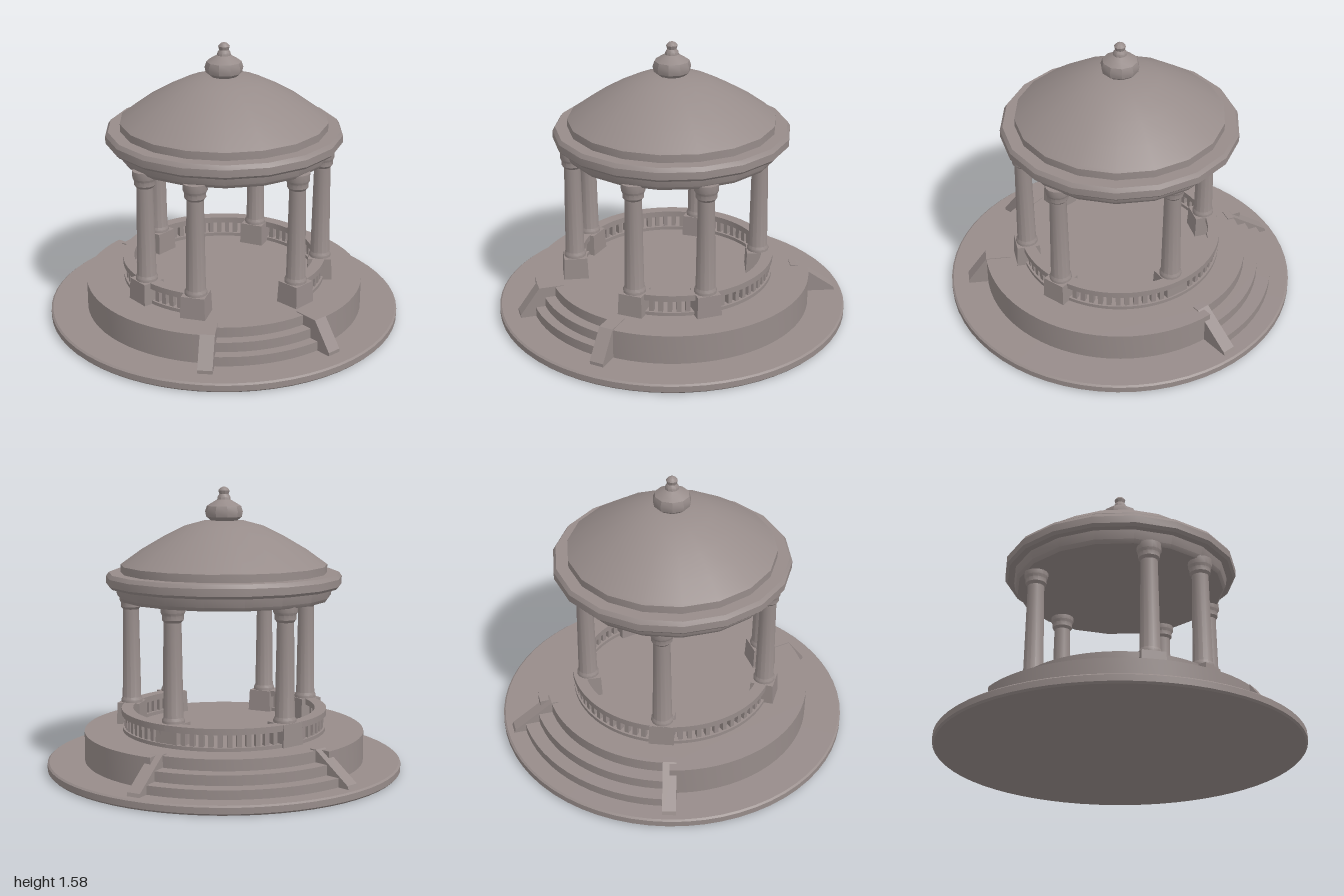
import * as THREE from 'three';
import { toCreasedNormals } from 'three/addons/utils/BufferGeometryUtils.js';

const DEG = Math.PI / 180;

export function createModel() {
  const model = new THREE.Group();
  const stone = new THREE.MeshStandardMaterial({ color: 0x978c8a });
  stone.name = 'stone';

  const add = (name, geo, parent = model) => {
    const mesh = new THREE.Mesh(toCreasedNormals(geo, 0.55), stone);
    mesh.name = name;
    parent.add(mesh);
    return mesh;
  };
  const group = (name, parent = model) => {
    const g = new THREE.Group();
    g.name = name;
    parent.add(g);
    return g;
  };
  const lathe = (pts, sides) =>
    new THREE.LatheGeometry(pts.map(([r, y]) => new THREE.Vector2(r, y)), sides);

  // Angles are in degrees from the front (+z) towards +x
  const plan = (r, a) => new THREE.Vector2(r * Math.sin(a * DEG), -r * Math.cos(a * DEG));
  const raise = (points, y0, y1) =>
    new THREE.ExtrudeGeometry(new THREE.Shape(points), { depth: y1 - y0, bevelEnabled: false })
      .rotateX(-Math.PI / 2).translate(0, y0, 0);
  const arcBlock = (rIn, rOut, a0, a1, y0, y1) => {
    const n = Math.max(4, Math.ceil((a1 - a0) / 5));
    const outer = [], inner = [];
    for (let i = 0; i <= n; i++) {
      const a = a0 + (a1 - a0) * i / n;
      outer.push(plan(rOut, a));
      inner.unshift(plan(rIn, a));
    }
    return raise([...outer, ...inner], y0, y1);
  };

  // Ground disc
  add('groundDisc', lathe([[0, 0.005], [0.99, 0.005], [1, 0.015], [1, 0.048], [0.99, 0.056], [0, 0.056]], 64));

  // Raised platform, set back where the two stairs meet it
  const front = [-27, 20], back = [141, 214];
  const edge = [];
  const sweep = (r, a0, a1) => {
    const n = Math.ceil((a1 - a0) / 5);
    for (let i = 0; i <= n; i++) edge.push(plan(r, a0 + (a1 - a0) * i / n));
  };
  sweep(0.7, front[0], front[1]);
  sweep(0.79, front[1], back[0]);
  sweep(0.73, back[0], back[1]);
  sweep(0.79, back[1], 360 + front[0]);
  add('platform', raise(edge, 0.04, 0.222));

  // Curved steps and their sloping side walls
  const stairs = (name, [a0, a1], steps, profile, thick) => {
    const g = group(name);
    for (const [r, y] of steps) add('step', arcBlock(0.6, r, a0, a1, 0.04, y), g);
    for (const a of [a0, a1]) {
      const shape = new THREE.Shape(profile.map(([r, y]) => new THREE.Vector2(r, y)));
      const wall = new THREE.ExtrudeGeometry(shape, { depth: thick, bevelEnabled: false });
      wall.translate(0, 0, -thick / 2).rotateY((a - 90) * DEG);
      add('stairWall', wall, g);
    }
  };
  stairs('frontStairs', front, [[0.76, 0.165], [0.815, 0.11]],
    [[0.65, 0.05], [0.9, 0.05], [0.9, 0.075], [0.79, 0.226], [0.65, 0.226]], 0.08);
  stairs('backStairs', back, [[0.81, 0.16], [0.89, 0.105]],
    [[0.69, 0.05], [0.96, 0.05], [0.95, 0.075], [0.73, 0.228], [0.69, 0.228]], 0.075);

  // Columns on square pedestals
  const columns = [[0.23, 0.5], [0.5, 0.23], [0.34, -0.36], [-0.25, -0.45], [-0.52, 0.18], [-0.33, 0.45]];
  for (const [x, z] of columns) {
    const g = group('column');
    g.position.set(x, 0, z);
    g.rotation.y = Math.atan2(x, z);
    const pedestal = new THREE.CylinderGeometry(0.092, 0.1, 0.13, 4).rotateY(Math.PI / 4);
    add('pedestal', pedestal.translate(0, 0.28, 0), g);
    add('shaft', lathe([[0, 0.34], [0.062, 0.34], [0.062, 0.36], [0.054, 0.375], [0.046, 0.87],
      [0.046, 0.885], [0.058, 0.9], [0.058, 0.925], [0.066, 0.94], [0.066, 0.98], [0, 0.98]], 14), g);
  }

  // Balustrade between neighbouring columns, open at the front stair
  const angles = columns.map(([x, z]) => (Math.atan2(x, z) / DEG + 360) % 360);
  const rails = group('balustrade');
  for (let i = 0; i < 5; i++) {
    const a0 = angles[i], a1 = angles[i + 1];
    add('topRail', arcBlock(0.515, 0.58, a0, a1, 0.312, 0.346), rails);
    add('bottomRail', arcBlock(0.52, 0.575, a0, a1, 0.215, 0.242), rails);
    const n = Math.max(3, Math.round((a1 - a0) / 5.2));
    for (let k = 1; k < n; k++) {
      const a = (a0 + (a1 - a0) * k / n) * DEG;
      const post = add('baluster', new THREE.BoxGeometry(0.026, 0.08, 0.032), rails);
      post.position.set(0.548 * Math.sin(a), 0.277, 0.548 * Math.cos(a));
      post.rotation.y = a;
    }
  }

  // Ring beam, cornice and shallow dome
  const roof = group('roof');
  add('ringBeam', lathe([[0, 0.965], [0.585, 0.965], [0.6, 0.985], [0.61, 1.045], [0, 1.045]], 18), roof);
  add('cornice', lathe([[0, 1.035], [0.645, 1.035], [0.66, 1.05], [0.66, 1.09], [0.645, 1.112], [0, 1.112]], 18), roof);
  add('dome', lathe([[0.578, 1.1], [0.578, 1.155], [0.56, 1.168], [0.46, 1.24], [0.34, 1.31],
    [0.22, 1.37], [0.12, 1.397], [0, 1.405]], 18), roof);

  // Finial
  add('finial', lathe([[0.07, 1.385], [0.075, 1.4], [0.1, 1.42], [0.106, 1.45], [0.096, 1.48],
    [0.06, 1.502], [0.038, 1.515], [0.036, 1.53], [0.026, 1.545], [0.032, 1.565], [0.02, 1.58], [0, 1.588]], 10), roof);

  return model;
}
